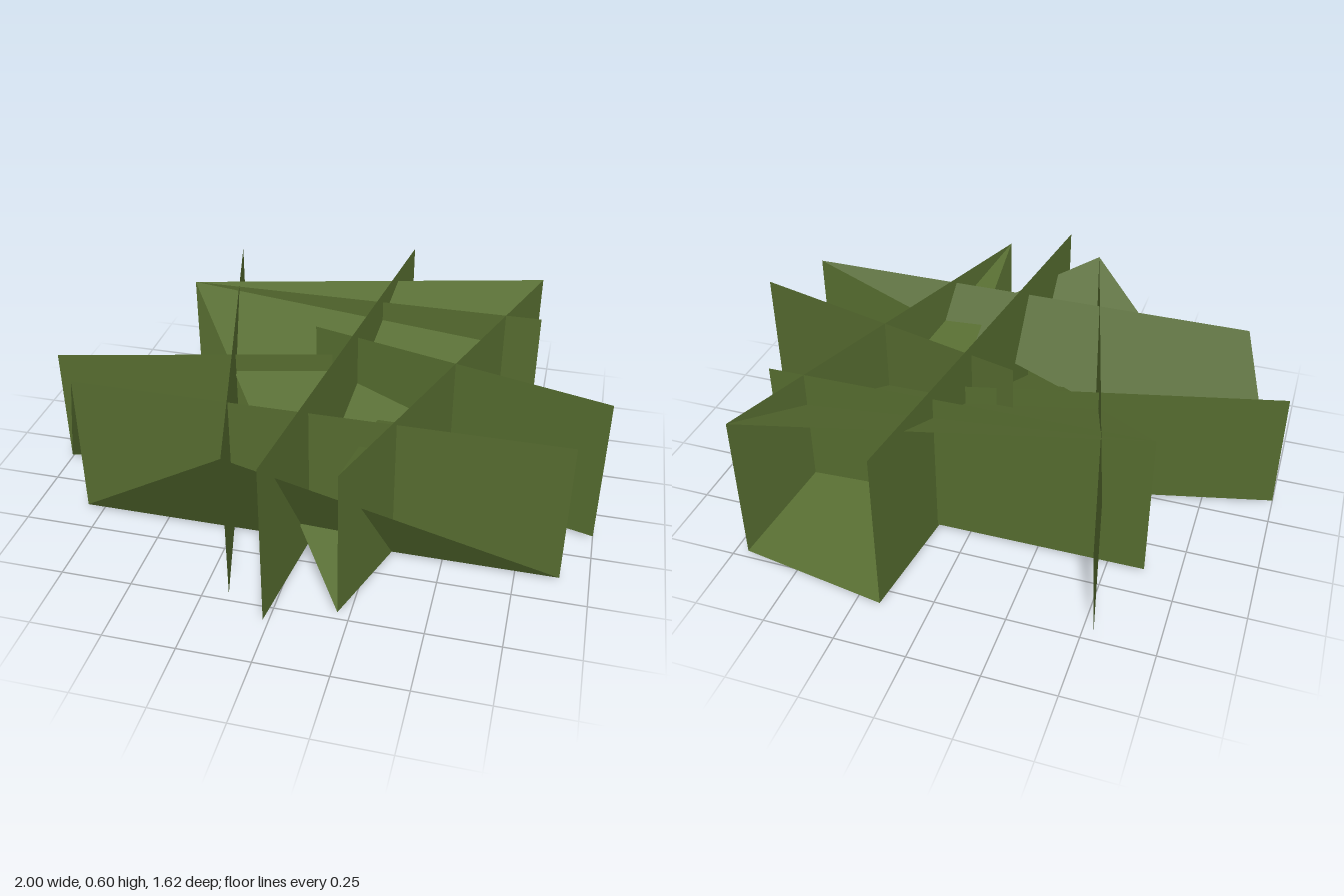
import * as THREE from 'three';

export function createModel() {
  const group = new THREE.Group();
  group.name = 'shrub';
  const leafGreen = new THREE.MeshStandardMaterial({ color: 0x556b2f, side: THREE.DoubleSide, flatShading: true });
  leafGreen.name = 'leafGreen';

  // Ends of the upright cards in plan: [x, z, base height, top height]
  const ends = {
    a: [-1, 0.11, 0.01, 0.46], q: [0.1, -0.16, 0.01, 0.46],
    m: [-0.08, -0.15, 0.01, 0.56], n: [1, 0.14, 0.01, 0.56],
    b: [-0.81, 0.39, 0.01, 0.54], e: [0.9, 0.39, 0.01, 0.54],
    c: [-0.16, 0.73, 0.01, 0.56], y: [-0.54, -0.73, 0.01, 0.56],
    f: [-0.63, -0.39, 0.01, 0.56], x: [0.72, -0.4, 0.01, 0.56],
    d: [0.21, 0.73, 0.01, 0.56], g: [0.7, -0.73, 0.01, 0.56],
    h: [0.17, -0.81, 0, 0.6], p: [-0.02, 0.81, 0, 0.6],
  };
  const low = (k) => [ends[k][0], ends[k][2], ends[k][1]];
  const high = (k) => [ends[k][0], ends[k][3], ends[k][1]];

  const addFace = (name, corners) => {
    const geometry = new THREE.BufferGeometry();
    geometry.setAttribute('position', new THREE.Float32BufferAttribute(corners.flat(), 3));
    geometry.setIndex(corners.length === 4 ? [0, 1, 2, 0, 2, 3] : [0, 1, 2]);
    geometry.computeVertexNormals();
    const mesh = new THREE.Mesh(geometry, leafGreen);
    mesh.name = name;
    group.add(mesh);
  };

  // Crossing upright foliage cards
  ['aq', 'mn', 'be', 'cy', 'fx', 'dg', 'hp'].forEach(([s, t], i) =>
    addFace(`foliageCard${i + 1}`, [low(s), low(t), high(t), high(s)]));

  // Sloping leaves that join neighbouring cards
  [
    [low('a'), high('b'), high('e')],
    [low('b'), high('c'), low('e')],
    [high('f'), low('d'), high('g')],
    [low('h'), high('d'), low('g')],
  ].forEach((corners, i) => addFace(`slopingLeaf${i + 1}`, corners));

  return group;
}
